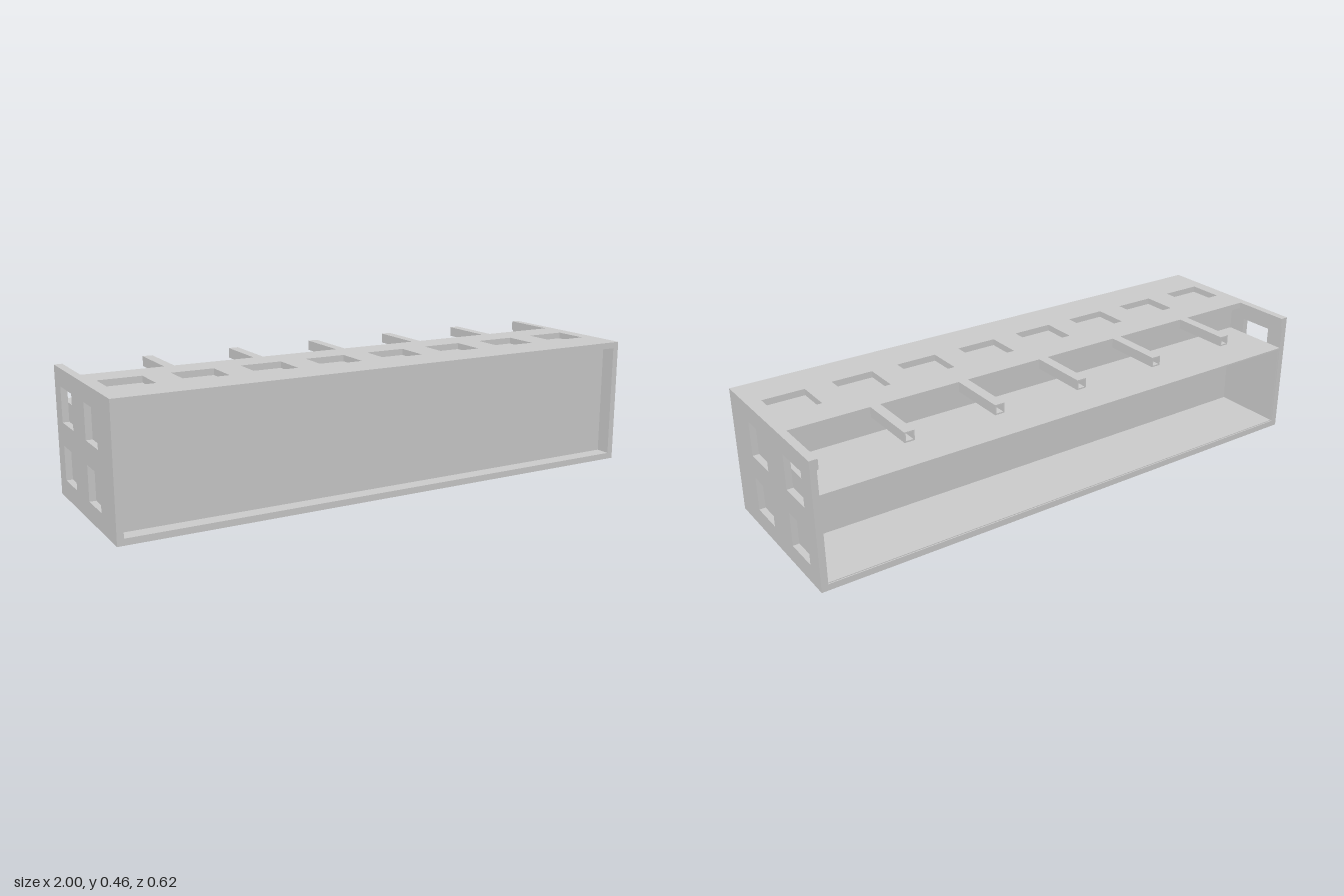
import * as THREE from 'three';

const X = 1, H = 0.462, Z = 0.308; // half length, height, half depth
const T = 0.023;                   // plate thickness
const WALL = -0.04;                // back face of the closed core
const SHELF = 0.34;

const material = new THREE.MeshStandardMaterial({ color: 0xcccccc, flatShading: true });

// Closed rectangle path from two corners
function rect(path, x0, y0, x1, y1) {
  path.moveTo(x0, y0);
  path.lineTo(x1, y0);
  path.lineTo(x1, y1);
  path.lineTo(x0, y1);
  path.closePath();
  return path;
}

// Flat plate with rectangular holes
function plate(outline, holes, depth) {
  const shape = rect(new THREE.Shape(), ...outline);
  for (const h of holes) shape.holes.push(rect(new THREE.Path(), ...h));
  return new THREE.ExtrudeGeometry(shape, { depth, bevelEnabled: false });
}

export function createModel() {
  const model = new THREE.Group();
  model.name = 'ventedTrough';

  function add(name, geometry, x = 0, y = 0, z = 0) {
    const mesh = new THREE.Mesh(geometry, material);
    mesh.name = name;
    mesh.position.set(x, y, z);
    model.add(mesh);
    return mesh;
  }

  // Box from its minimum and maximum corners
  function block(name, x0, y0, z0, x1, y1, z1) {
    add(name, new THREE.BoxGeometry(x1 - x0, y1 - y0, z1 - z0),
      (x0 + x1) / 2, (y0 + y1) / 2, (z0 + z1) / 2);
  }

  // Row of eight windows between two depths (plate coordinates use -z)
  const row = (zBack, zFront) => Array.from({ length: 8 }, (_, i) => {
    const c = -0.877 + i * 0.25;
    return [c - 0.076, -zFront, c + 0.076, -zBack];
  });
  const inner = X - T;

  // Top plate covers the front part, bottom plate the whole depth
  const top = plate([-inner, -Z, inner, 0.088], row(0.027, 0.16), T);
  add('topPlate', top.rotateX(-Math.PI / 2), 0, H - T, 0);
  const bottom = plate([-inner, -Z, inner, Z], [...row(0.03, 0.163), ...row(-0.24, -0.108)], T);
  add('bottomPlate', bottom.rotateX(-Math.PI / 2));

  // End plates with four windows each
  const windows = [];
  for (const [z0, z1] of [[0.032, 0.163], [-0.24, -0.108]]) {
    for (const [y0, y1] of [[0.066, 0.19], [0.272, 0.398]]) windows.push([-z1, y0, -z0, y1]);
  }
  const end = plate([-Z, 0, Z, H], windows, T).rotateY(Math.PI / 2);
  add('leftEndPlate', end, inner);
  add('rightEndPlate', end, -X);

  // Closed core: recessed front panel, inner wall and window backs
  block('core', -inner, T, WALL, inner, H - T, 0.253);

  // Rear bay: shelf, floor liner and end liners below the shelf
  block('shelf', -inner, SHELF - 0.006, -Z, inner, SHELF, WALL);
  block('floorLiner', -inner, T, -Z + 0.004, inner, T + 0.003, WALL);
  for (const s of [-1, 1]) {
    const a = s * inner, b = s * (inner - 0.003);
    block('endLiner', Math.min(a, b), T, -Z + 0.004, Math.max(a, b), SHELF - 0.006, WALL);
  }

  // Hollow square bars reaching back over the bay
  const w = 0.018, t = 0.005;
  const bar = plate([-w, -2 * w, w, 0], [[-w + t, -2 * w + t, w - t, -t]], Z - 0.088);
  for (let i = -2; i <= 2; i++) add('rearBar', bar, i * 0.333, H, -Z);

  // Narrow ledges along the top of the end plates
  for (const s of [-1, 1]) {
    const c = s * (inner - 0.003);
    block('endLedge', c - 0.003, H - 0.036, -Z, c + 0.003, H, -0.088);
  }

  return model;
}
